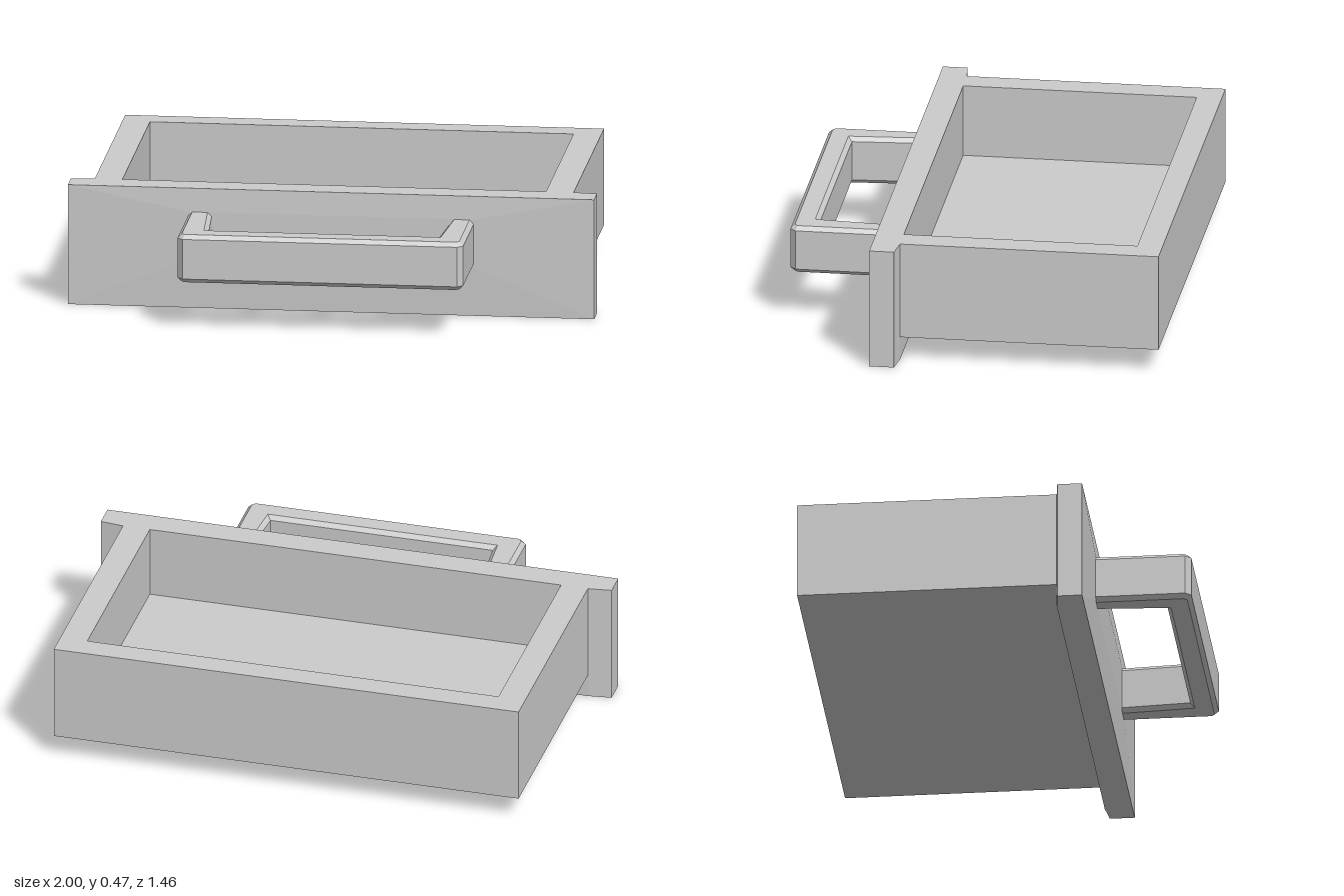
import * as THREE from 'three';

const material = new THREE.MeshStandardMaterial({ color: 0xcccccc, flatShading: true });

// Extrudes a plan outline of [x, z] points upward from y0 to y1, with an optional chamfer
function upright(name, points, y0, y1, bevel = 0) {
  const shape = new THREE.Shape(points.map(([x, z]) => new THREE.Vector2(x, -z)));
  const geometry = new THREE.ExtrudeGeometry(shape, {
    depth: y1 - y0 - 2 * bevel,
    bevelEnabled: bevel > 0,
    bevelThickness: bevel,
    bevelSize: bevel,
    bevelOffset: -bevel,
    bevelSegments: 1,
  });
  geometry.rotateX(-Math.PI / 2);
  geometry.translate(0, y0 + bevel, 0);
  const mesh = new THREE.Mesh(geometry, material);
  mesh.name = name;
  return mesh;
}

// Completes a left-right symmetric outline from its +x half
const mirrored = (half) => [...half, ...half.map(([x, z]) => [-x, z]).reverse()];

export function createModel() {
  const group = new THREE.Group();
  group.name = 'drawer';
  const top = 0.465, bottom = 0.09, floorTop = 0.185;

  // Side and back walls, open toward the front panel
  group.add(upright('walls', mirrored([
    [0.91, -0.73], [0.91, 0.257], [0.805, 0.257], [0.805, -0.635],
  ]), bottom, top));

  // Floor
  group.add(upright('floor', mirrored([[0.905, -0.725], [0.905, 0.257]]), bottom, floorTop));

  // Front panel, its back tapering slightly toward the ends
  group.add(upright('frontPanel', mirrored([
    [0.91, 0.255], [1, 0.266], [1, 0.36],
  ]), 0, top));

  // Shallow raised face that slopes from the panel edges up to the handle
  const face = new THREE.BoxGeometry(2, top, 0.006);
  const p = face.attributes.position;
  for (let i = 0; i < p.count; i++) {
    const front = p.getZ(i) > 0;
    const up = p.getY(i) > 0;
    p.setXYZ(i,
      p.getX(i) * (front ? 0.54 : 1),
      front ? (up ? 0.375 : 0.19) : (up ? top : 0),
      front ? 0.366 : 0.36);
  }
  face.computeVertexNormals();
  const faceMesh = new THREE.Mesh(face, material);
  faceMesh.name = 'panelFace';
  group.add(faceMesh);

  // Chamfered U-shaped handle, rooted inside the panel
  group.add(upright('handle', mirrored([
    [0.435, 0.627], [0.455, 0.335], [0.543, 0.335], [0.543, 0.705], [0.522, 0.727],
  ]), 0.188, 0.374, 0.016));

  return group;
}
